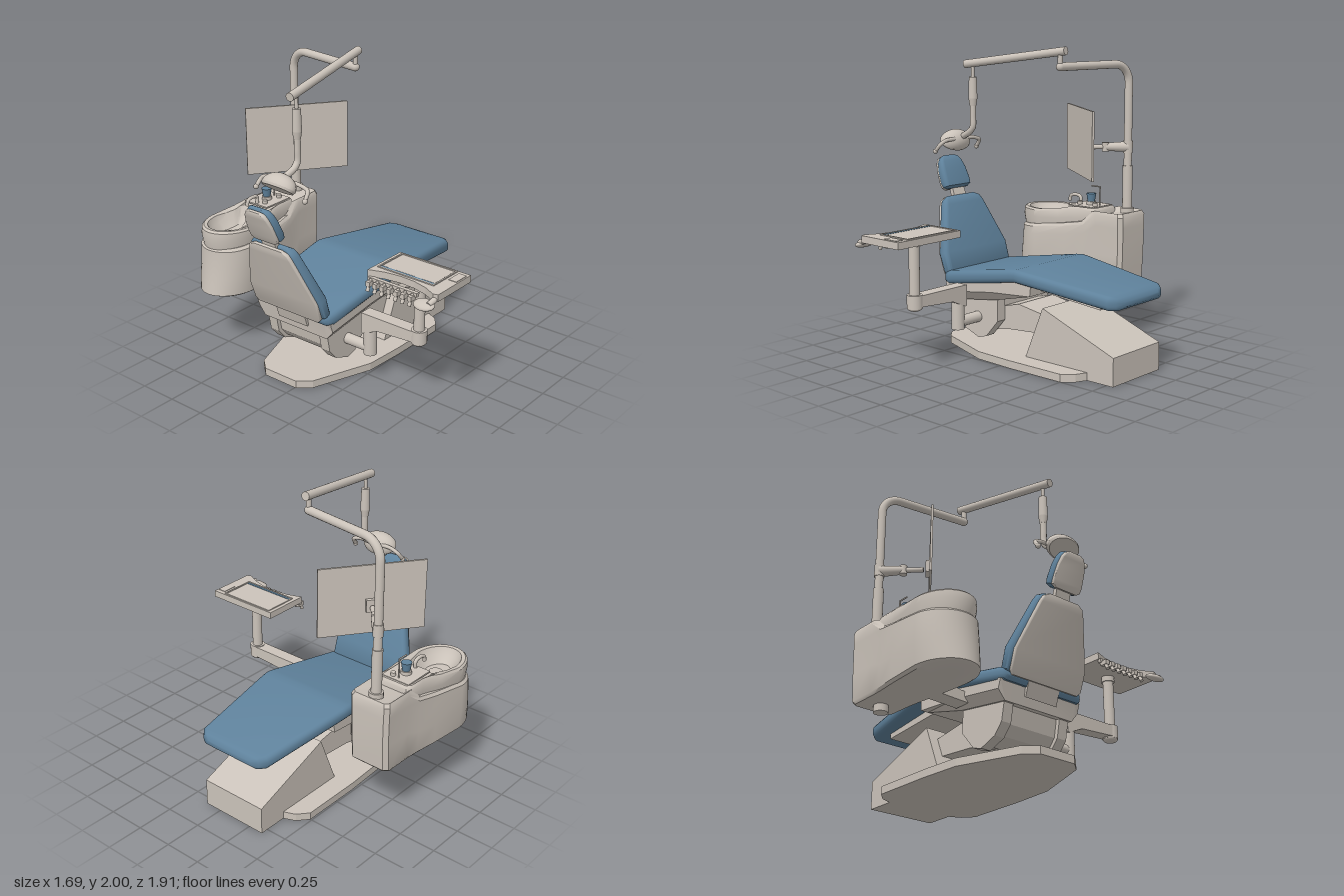
import * as THREE from 'three';
import { toCreasedNormals } from 'three/addons/utils/BufferGeometryUtils.js';

const shell = new THREE.MeshStandardMaterial({ name: 'warmGrey', color: 0xcbc3ba });
const pad = new THREE.MeshStandardMaterial({ name: 'upholsteryBlue', color: 0x5f829c });
const V = (x, y, z) => new THREE.Vector3(x, y, z);
const CZ = -0.12; // chair centre line
const UZ = -0.755; // cuspidor centre line

function add(parent, name, geo, mat = shell) {
  const m = new THREE.Mesh(geo, mat);
  m.name = name;
  parent.add(m);
  return m;
}
function group(parent, name) {
  const g = new THREE.Group();
  g.name = name;
  parent.add(g);
  return g;
}
function box(parent, name, x0, x1, y0, y1, z0, z1, mat) {
  const g = new THREE.BoxGeometry(x1 - x0, y1 - y0, z1 - z0);
  return add(parent, name, g.translate((x0 + x1) / 2, (y0 + y1) / 2, (z0 + z1) / 2), mat);
}
// Side profile (x, y) extruded across z
function prism(parent, name, pts, z0, z1, mat) {
  const s = new THREE.Shape(pts.map(p => new THREE.Vector2(...p)));
  const g = new THREE.ExtrudeGeometry(s, { depth: z1 - z0, bevelEnabled: false });
  return add(parent, name, g.translate(0, 0, z0), mat);
}
// Plan outline (x, z) extruded upward
function slab(parent, name, pts, y0, y1, mat) {
  const s = new THREE.Shape(pts.map(([x, z]) => new THREE.Vector2(x, -z)));
  const g = new THREE.ExtrudeGeometry(s, { depth: y1 - y0, bevelEnabled: false });
  return add(parent, name, g.rotateX(-Math.PI / 2).translate(0, y0, 0), mat);
}
// Cylinder between two points
function rod(parent, name, a, b, r0, r1 = r0, mat = shell) {
  const d = b.clone().sub(a);
  const m = add(parent, name, new THREE.CylinderGeometry(r1, r0, d.length(), 20), mat);
  m.position.copy(a).addScaledVector(d, 0.5);
  m.quaternion.setFromUnitVectors(V(0, 1, 0), d.normalize());
  return m;
}
function tube(parent, name, pts, r) {
  return add(parent, name, new THREE.TubeGeometry(new THREE.CatmullRomCurve3(pts), 24, r, 10, false));
}
// Closed skin through equal-length rings, always wound outward
function loft(rings, crease = 0.6) {
  const n = rings[0].length, pos = [], idx = [];
  const mean = r => r.reduce((s, p) => s.add(p), V(0, 0, 0)).divideScalar(n);
  const all = [...rings.flat(), mean(rings[0]), mean(rings[rings.length - 1])];
  all.forEach(p => pos.push(p.x, p.y, p.z));
  const last = (rings.length - 1) * n;
  for (let j = 0; j < n; j++) {
    const k = (j + 1) % n;
    for (let i = 0; i < last; i += n) idx.push(i + j, i + k, i + n + k, i + j, i + n + k, i + n + j);
    idx.push(all.length - 2, k, j, all.length - 1, last + j, last + k);
  }
  let vol = 0;
  for (let i = 0; i < idx.length; i += 3) vol += all[idx[i]].dot(all[idx[i + 1]].clone().cross(all[idx[i + 2]]));
  if (vol < 0) idx.reverse();
  const g = new THREE.BufferGeometry();
  g.setAttribute('position', new THREE.Float32BufferAttribute(pos, 3));
  g.setIndex(idx);
  return toCreasedNormals(g, crease);
}
// Upholstered pad: stations [x, y, half thickness, half width], thickness along (nx, ny)
function cushion(stations, nx, ny) {
  return loft(stations.map(([x, y, t, w]) => {
    const r = Math.min(t, w) * 0.8, ring = [];
    for (let c = 0; c < 4; c++) for (let i = 0; i <= 4; i++) {
      const a = (c + i / 4) * Math.PI / 2;
      const sx = c === 0 || c === 3 ? 1 : -1, sy = c < 2 ? 1 : -1;
      const u = sy * (t - r) + r * Math.sin(a), b = sx * (w - r) + r * Math.cos(a);
      ring.push(V(x + nx * u, y + ny * u, CZ + b));
    }
    return ring;
  }), 0.75);
}
// Plan ring: round at the left end, squared at the right end; height is a function of x
function outline(cx, x0, x1, wL, wR, yOf, zc = UZ) {
  const half = [];
  for (let i = 0; i <= 10; i++) {
    const a = Math.PI - i / 10 * Math.PI / 2;
    half.push([cx + (cx - x0) * Math.cos(a), wL * Math.sin(a)]);
  }
  for (const t of [0.35, 0.56, 0.7]) half.push([cx + (x1 - cx) * t, wL + (wR - wL) * THREE.MathUtils.smoothstep(t, 0, 0.8)]);
  half.push([x1 - 0.025, wR], [x1, wR - 0.025]);
  const full = [...half, ...half.slice(1).reverse().map(([x, z]) => [x, -z])];
  return full.map(([x, z]) => V(x, yOf(x), zc + z));
}

function buildChair(root) {
  const g = group(root, 'chair');
  // Floor plate and lifting mechanism
  const edge = [[-0.67, 0.13], [-0.6, 0.21], [-0.2, 0.355], [0.08, 0.37], [0.5, 0.37], [0.57, 0.31], [0.6, 0.24]];
  slab(g, 'floorPlate', [...edge.map(([x, w]) => [x, CZ + w]), ...edge.slice().reverse().map(([x, w]) => [x, CZ - w])], 0, 0.05);
  prism(g, 'footWedge', [[0.08, 0], [0.8, 0], [0.8, 0.18], [0.24, 0.39]], -0.355, 0.115);
  prism(g, 'liftArm', [[-0.25, 0.15], [-0.1, 0.18], [0.17, 0.2], [0.23, 0.32], [-0.02, 0.36], [-0.25, 0.3]], -0.29, 0.05);
  const hub = [[-0.51, 0.38], [-0.48, 0.22], [-0.42, 0.15], [-0.3, 0.105], [-0.23, 0.125], [-0.13, 0.24], [-0.13, 0.4]];
  for (const s of [-1, 1]) prism(g, 'pivotHousing', hub, CZ + s * 0.215 - 0.035, CZ + s * 0.215 + 0.035);
  prism(g, 'pivotCore', hub.map(([x, y]) => [-0.31 + (x + 0.31) * 0.85, 0.27 + (y - 0.27) * 0.85]), CZ - 0.2, CZ + 0.2);
  // Seat pan, tapered toward the bottom
  const pan = (k, w) => [[-0.54, 0.45], [-0.52, 0.33 + k], [-0.13, 0.385 + k], [0.2, 0.47], [0.21, 0.57], [0.1, 0.57]].map(([x, y]) => V(x, y, CZ + w));
  add(g, 'seatPan', loft([pan(0.06, -0.31), pan(0, -0.26), pan(0, 0.26), pan(0.06, 0.31)], 0.2));
  prism(g, 'legSupport', [[0.15, 0.49], [0.67, 0.445], [0.67, 0.5], [0.15, 0.56]], CZ - 0.2, CZ + 0.2);
  // Upholstery
  add(g, 'seatCushion', cushion([[-0.565, 0.48, 0.015, 0.28], [-0.55, 0.48, 0.037, 0.305], [-0.51, 0.483, 0.046, 0.322],
    [0.06, 0.583, 0.042, 0.349], [0.1, 0.588, 0.042, 0.351], [0.15, 0.583, 0.042, 0.348], [0.77, 0.51, 0.045, 0.268],
    [0.81, 0.505, 0.037, 0.23], [0.83, 0.502, 0.015, 0.18]], 0, 1), pad);
  const back = [[-0.535, 0.485, 0.015, 0.27], [-0.545, 0.51, 0.036, 0.295], [-0.585, 0.63, 0.04, 0.298],
    [-0.69, 0.925, 0.035, 0.185], [-0.703, 0.96, 0.028, 0.165], [-0.71, 0.98, 0.01, 0.125]];
  const head = [[-0.733, 1.025, 0.012, 0.09], [-0.738, 1.04, 0.03, 0.116], [-0.752, 1.07, 0.034, 0.121], [-0.785, 1.15, 0.033, 0.113],
    [-0.806, 1.2, 0.028, 0.098], [-0.818, 1.228, 0.02, 0.078], [-0.823, 1.24, 0.008, 0.05]];
  const plate = (st, nx, ny, off) => st.map(([x, y, t, w]) => [x - nx * off, y - ny * off, Math.min(t, 0.014), w * 0.93]);
  add(g, 'backCushion', cushion(back, 0.94, 0.33), pad);
  add(g, 'backShell', cushion(plate(back, 0.94, 0.33, 0.04), 0.94, 0.33));
  add(g, 'headCushion', cushion(head, 0.92, 0.38), pad);
  add(g, 'headShell', cushion(plate(head, 0.92, 0.38, 0.032), 0.92, 0.38));
  prism(g, 'headrestStem', [[-0.765, 1.08], [-0.745, 1.08], [-0.69, 0.93], [-0.73, 0.93]], CZ - 0.055, CZ + 0.055);
  prism(g, 'backBracket', [[-0.61, 0.6], [-0.58, 0.6], [-0.48, 0.42], [-0.54, 0.38]], CZ - 0.12, CZ + 0.12);
}

function buildDelivery(root) {
  const g = group(root, 'instrumentDelivery');
  const X = -0.305;
  rod(g, 'pivotShaft', V(X, 0.245, 0.08), V(X, 0.245, 0.3), 0.036);
  rod(g, 'lowerPivot', V(X, 0.2, 0.315), V(X, 0.44, 0.315), 0.042);
  // Swing arm, deeper at the chair end
  const arm = w => [[0.275, 0.355], [0.29, 0.35], [0.4, 0.4], [0.7, 0.42], [0.7, 0.49], [0.275, 0.49]].map(([z, y]) => V(X + w, y, z));
  add(g, 'swingArm', loft([arm(-0.044), arm(0.044)], 0.2));
  rod(g, 'upperPivot', V(X, 0.41, 0.69), V(X, 0.495, 0.69), 0.05);
  add(g, 'pivotFoot', new THREE.SphereGeometry(0.048, 20, 12).scale(1, 0.5, 1).translate(X, 0.412, 0.69));
  rod(g, 'trayPost', V(X, 0.48, 0.69), V(X, 0.84, 0.69), 0.034);
  rod(g, 'trayCollar', V(X, 0.8, 0.69), V(X, 0.84, 0.69), 0.042);
  // Tray with concave instrument side
  slab(g, 'tray', [[-0.48, 0.43], [-0.16, 0.43], [-0.16, 0.95], [-0.49, 0.95], [-0.5, 0.92], [-0.46, 0.84], [-0.435, 0.74],
    [-0.43, 0.64], [-0.445, 0.53]], 0.835, 0.88);
  for (const [x0, x1, z0, z1] of [[-0.415, -0.17, 0.455, 0.465], [-0.415, -0.17, 0.855, 0.865], [-0.18, -0.17, 0.455, 0.865], [-0.415, -0.405, 0.455, 0.865]])
    box(g, 'trayRim', x0, x1, 0.88, 0.887, z0, z1);
  box(g, 'trayMat', -0.385, -0.185, 0.878, 0.883, 0.47, 0.85);
  box(g, 'trayStrip', -0.404, -0.388, 0.878, 0.884, 0.466, 0.854, pad);
  box(g, 'keypad', -0.295, -0.19, 0.878, 0.884, 0.885, 0.94);
  // Instrument holder and handpieces
  box(g, 'holderBar', -0.49, -0.465, 0.815, 0.84, 0.44, 0.8);
  for (let i = 0; i < 7; i++) {
    const z = 0.465 + i * 0.051;
    box(g, 'holder', -0.525, -0.475, 0.795, 0.825, z - 0.015, z + 0.015);
    rod(g, 'handpiece', V(-0.525, 0.765, z), V(-0.49, 0.835, z), 0.012, 0.008);
  }
  add(g, 'trayHandle', new THREE.SphereGeometry(1, 20, 12).scale(0.048, 0.022, 0.07).rotateZ(0.3).translate(-0.535, 0.815, 0.885));
  rod(g, 'handleStem', V(-0.54, 0.825, 0.92), V(-0.47, 0.85, 0.93), 0.018);
}

function buildCuspidor(root) {
  const g = group(root, 'cuspidorUnit');
  // Waisted cabinet with a top that steps up to the post block
  const top = x => x > 0.06 ? 0.89 : 0.735 + 0.09 * Math.pow(Math.max(0, (x + 0.66) / 0.72), 1.6);
  const cabinet = [[0, -0.64, 0.13, 0.17, 0.26], [0.04, -0.665, 0.14, 0.19, 0.28], [0.4, -0.645, 0.14, 0.2, 0.29],
    [0.8, -0.632, 0.142, 0.197, 0.292], [0.95, -0.63, 0.144, 0.192, 0.292], [1, -0.615, 0.132, 0.175, 0.28]];
  add(g, 'cabinet', loft(cabinet.map(([f, x0, wR, wL, x1]) => outline(-0.42, x0, x1, wL, wR, x => 0.405 + f * (top(x) - 0.405)))));
  // Bowl with hollow basin
  const lvl = (a, b) => x => a + (b - a) * THREE.MathUtils.smoothstep(x, -0.35, -0.1);
  add(g, 'bowl', loft([
    outline(-0.4, -0.62, 0.05, 0.17, 0.12, lvl(0.72, 0.75)), outline(-0.4, -0.635, 0.06, 0.182, 0.13, lvl(0.8, 0.82)),
    outline(-0.4, -0.63, 0.055, 0.18, 0.125, lvl(0.845, 0.885)), outline(-0.4, -0.615, 0.045, 0.168, 0.115, lvl(0.858, 0.9)),
    outline(-0.41, -0.592, -0.2, 0.14, 0.105, lvl(0.855, 0.895)), outline(-0.41, -0.57, -0.225, 0.12, 0.085, () => 0.81),
    outline(-0.41, -0.52, -0.29, 0.075, 0.05, () => 0.765)], 0.7));
  add(g, 'drain', new THREE.CylinderGeometry(0.045, 0.045, 0.008, 8).translate(-0.405, 0.768, UZ));
  box(g, 'counterPlate', -0.19, 0.03, 0.894, 0.903, UZ - 0.1, UZ + 0.1);
  // Faucet, cup and filler
  tube(g, 'faucet', [V(-0.17, 0.89, -0.76), V(-0.17, 0.945, -0.76), V(-0.21, 0.957, -0.76), V(-0.255, 0.945, -0.76), V(-0.265, 0.91, -0.76)], 0.012);
  rod(g, 'cupStand', V(-0.075, 0.9, -0.76), V(-0.075, 0.925, -0.76), 0.034);
  rod(g, 'cup', V(-0.075, 0.925, -0.76), V(-0.075, 0.98, -0.76), 0.025, 0.034, pad);
  rod(g, 'fillerPipe', V(0, 0.9, -0.76), V(0, 1.035, -0.76), 0.005);
  rod(g, 'fillerSpout', V(0.003, 1.032, -0.76), V(-0.07, 1.032, -0.76), 0.005);
  for (const x of [-0.14, -0.005]) rod(g, 'tapKnob', V(x, 0.9, -0.715), V(x, 0.925, -0.715), 0.017);
  // Underside and link to the chair
  rod(g, 'drainSocket', V(0.16, 0.36, UZ), V(0.16, 0.42, UZ), 0.045);
  const link = x => [[-0.66, 0.41], [-0.4, 0.4], [-0.4, 0.46], [-0.47, 0.47], [-0.66, 0.52]].map(([z, y]) => V(x, y, z));
  add(g, 'chairLink', loft([link(-0.22), link(-0.105)], 0.2));
}

function buildLampAndMonitor(root) {
  const g = group(root, 'lampStand');
  const P = V(0.228, 0, -0.765), at = (x, y, z) => V(x, y, z);
  rod(g, 'postFlange', at(P.x, 0.88, P.z), at(P.x, 0.915, P.z), 0.045);
  rod(g, 'postSleeve', at(P.x, 0.9, P.z), at(P.x, 1.2, P.z), 0.033);
  // Post bending into the fixed arm
  const path = new THREE.CurvePath();
  const b0 = at(P.x, 1.75, P.z), b1 = at(0.21, 1.875, -0.64), end = at(0.14, 1.875, -0.165);
  path.add(new THREE.LineCurve3(at(P.x, 1.18, P.z), b0));
  path.add(new THREE.CubicBezierCurve3(b0, at(P.x, 1.82, P.z), at(0.22, 1.875, -0.71), b1));
  path.add(new THREE.LineCurve3(b1, end));
  add(g, 'bentPost', new THREE.TubeGeometry(path, 60, 0.027, 16, false));
  add(g, 'armEnd', new THREE.SphereGeometry(0.027, 16, 10).translate(end.x, end.y, end.z));
  rod(g, 'armJoint', at(0.14, 1.86, -0.165), at(0.14, 1.96, -0.165), 0.016);
  rod(g, 'swivelArm', at(0.18, 1.975, -0.172), at(-0.59, 1.872, -0.06), 0.027);
  // Drop tube and lamp head
  const Z = -0.065;
  rod(g, 'dropPin', at(-0.527, 1.87, Z), at(-0.527, 1.77, Z), 0.011);
  rod(g, 'dropGrip', at(-0.527, 1.79, Z), at(-0.527, 1.65, Z), 0.026, 0.03);
  rod(g, 'dropTaper', at(-0.527, 1.65, Z), at(-0.527, 1.6, Z), 0.03, 0.022);
  tube(g, 'dropElbow', [at(-0.527, 1.62, Z), at(-0.527, 1.53, Z), at(-0.53, 1.46, Z), at(-0.56, 1.425, Z), at(-0.63, 1.39, Z - 0.01)], 0.021);
  const lamp = group(g, 'lampHead');
  lamp.position.set(-0.7, 1.35, -0.065);
  lamp.rotation.z = -0.66;
  add(lamp, 'lampDome', new THREE.SphereGeometry(1, 28, 10, 0, Math.PI * 2, 0, Math.PI / 2).scale(0.08, 0.085, 0.122));
  add(lamp, 'lampFace', new THREE.CylinderGeometry(1, 0.92, 0.016, 28).scale(0.08, 1, 0.122).translate(0, -0.007, 0));
  for (const s of [-1, 1]) {
    tube(lamp, 'lampHandle', [V(0.03, 0.055, s * 0.06), V(0.03, 0.05, s * 0.13), V(0.04, 0.035, s * 0.18), V(0.04, -0.03, s * 0.195)], 0.013);
    add(lamp, 'handleTip', new THREE.SphereGeometry(0.017, 12, 8).translate(0.04, -0.03, s * 0.195));
  }
  // Monitor angled toward the patient, with its bracket
  const m = group(root, 'monitor');
  m.position.set(0, 1.365, -0.54);
  m.rotation.y = -Math.atan2(0.4, 0.54);
  add(m, 'screenPanel', new THREE.BoxGeometry(0.67, 0.45, 0.014));
  box(m, 'mountPlate', -0.04, 0.04, -0.075, 0.005, -0.03, -0.005);
  rod(g, 'bracketArm', at(0.03, 1.325, -0.57), at(0.13, 1.325, -0.67), 0.016);
  rod(g, 'bracketHinge', at(0.12, 1.295, -0.66), at(0.12, 1.355, -0.66), 0.024);
  rod(g, 'bracketRoot', at(0.12, 1.325, -0.66), at(P.x, 1.325, P.z), 0.026, 0.036);
  rod(g, 'bracketClamp', at(P.x, 1.285, P.z), at(P.x, 1.365, P.z), 0.032);
}

export function createModel() {
  const root = new THREE.Group();
  root.name = 'dentalUnit';
  buildChair(root);
  buildDelivery(root);
  buildCuspidor(root);
  buildLampAndMonitor(root);
  return root;
}
